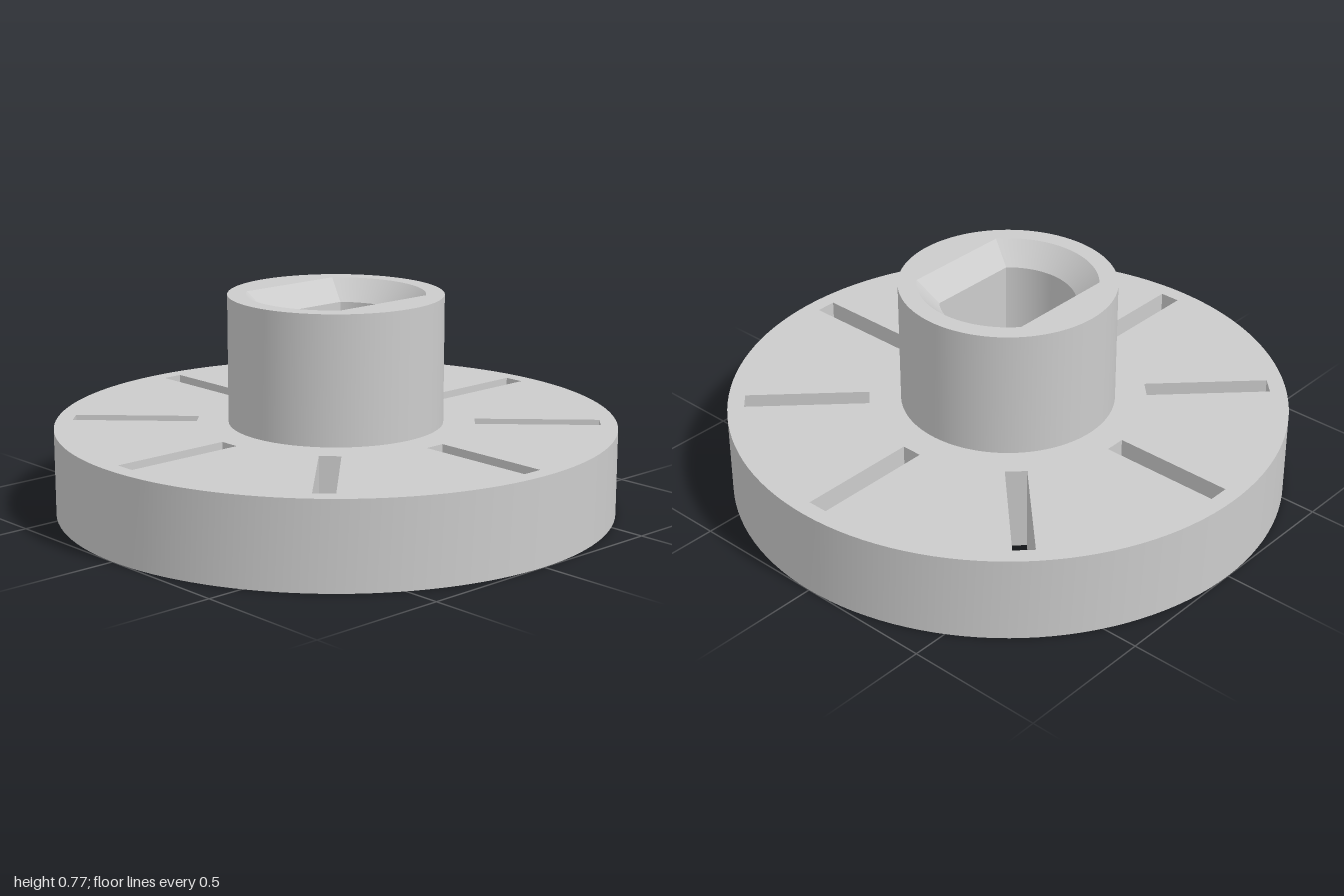
import * as THREE from 'three';
import { toCreasedNormals } from 'three/addons/utils/BufferGeometryUtils.js';

const PLATE_R = 1, PLATE_TOP = 0.31;
const HUB_R = 0.383, HUB_TOP = 0.77;
const BORE_R = 0.24, BORE_W = 0.165, CHAMFER = 0.077;
const SLOT_IN = 0.495, SLOT_OUT = 0.94, SLOT_HALF = 0.038, SLOT_COUNT = 8;

// Outlines are counter-clockwise lists of Vector2
function circle(r, n = 128) {
  return Array.from({ length: n }, (_, i) => {
    const a = (i / n) * Math.PI * 2;
    return new THREE.Vector2(r * Math.cos(a), r * Math.sin(a));
  });
}

// Circle with two parallel flats at x = +-w
function doubleD(r, w, n = 32) {
  const start = Math.acos(w / r), points = [];
  for (const turn of [0, Math.PI]) {
    for (let i = 0; i <= n; i++) {
      const a = turn + start + (i / n) * (Math.PI - 2 * start);
      points.push(new THREE.Vector2(r * Math.cos(a), r * Math.sin(a)));
    }
  }
  return points;
}

function slot(angle) {
  return [[SLOT_IN, -SLOT_HALF], [SLOT_OUT, -SLOT_HALF], [SLOT_OUT, SLOT_HALF], [SLOT_IN, SLOT_HALF]]
    .map(([x, y]) => new THREE.Vector2(x, y).rotateAround(new THREE.Vector2(), angle));
}

// Wall between a lower and an upper outline; inward walls line a hole
function wall(low, y0, high, y1, inward = false) {
  const pos = [];
  for (let i = 0; i < low.length; i++) {
    const j = (i + 1) % low.length;
    const a = [low[i].x, y0, -low[i].y], b = [low[j].x, y0, -low[j].y];
    const c = [high[j].x, y1, -high[j].y], d = [high[i].x, y1, -high[i].y];
    pos.push(...(inward ? [a, c, b, a, d, c] : [a, b, c, a, c, d]).flat());
  }
  const geo = new THREE.BufferGeometry();
  geo.setAttribute('position', new THREE.Float32BufferAttribute(pos, 3));
  return toCreasedNormals(geo, 0.5);
}

// Flat horizontal face with holes
function cap(outline, holes, y, up = true) {
  const shape = new THREE.Shape(outline);
  // Mirrored vertically when facing down; every outline here is symmetric
  shape.holes = holes.map((h) => new THREE.Path(h));
  return new THREE.ShapeGeometry(shape).rotateX(up ? -Math.PI / 2 : Math.PI / 2).translate(0, y, 0);
}

export function createModel() {
  const material = new THREE.MeshStandardMaterial({ color: 0xcccccc });
  const model = new THREE.Group();
  model.name = 'slottedDiscWithHub';
  const part = (name, ...geometries) => {
    const group = new THREE.Group();
    group.name = name;
    for (const geo of geometries) {
      const mesh = new THREE.Mesh(geo, material);
      mesh.name = name + 'Surface';
      group.add(mesh);
    }
    model.add(group);
  };

  const rim = circle(PLATE_R), hub = circle(HUB_R);
  const bore = doubleD(BORE_R, BORE_W);
  const mouth = doubleD(BORE_R + CHAMFER, BORE_W + CHAMFER);
  const slots = Array.from({ length: SLOT_COUNT }, (_, i) => slot((i / SLOT_COUNT) * Math.PI * 2));

  // Disc with radial slots cut right through
  part('plate',
    wall(rim, 0, rim, PLATE_TOP),
    cap(rim, [hub, ...slots], PLATE_TOP),
    cap(rim, [bore, ...slots], 0, false));
  part('radialSlots', ...slots.map((s) => wall(s, 0, s, PLATE_TOP, true)));

  // Raised collar
  part('hub',
    wall(hub, PLATE_TOP, hub, HUB_TOP),
    cap(hub, [mouth], HUB_TOP));

  // Flat-sided bore through hub and disc, flared at its mouth
  part('shaftBore', wall(bore, 0, bore, HUB_TOP - CHAMFER, true));
  part('boreChamfer', wall(bore, HUB_TOP - CHAMFER, mouth, HUB_TOP, true));

  return model;
}
